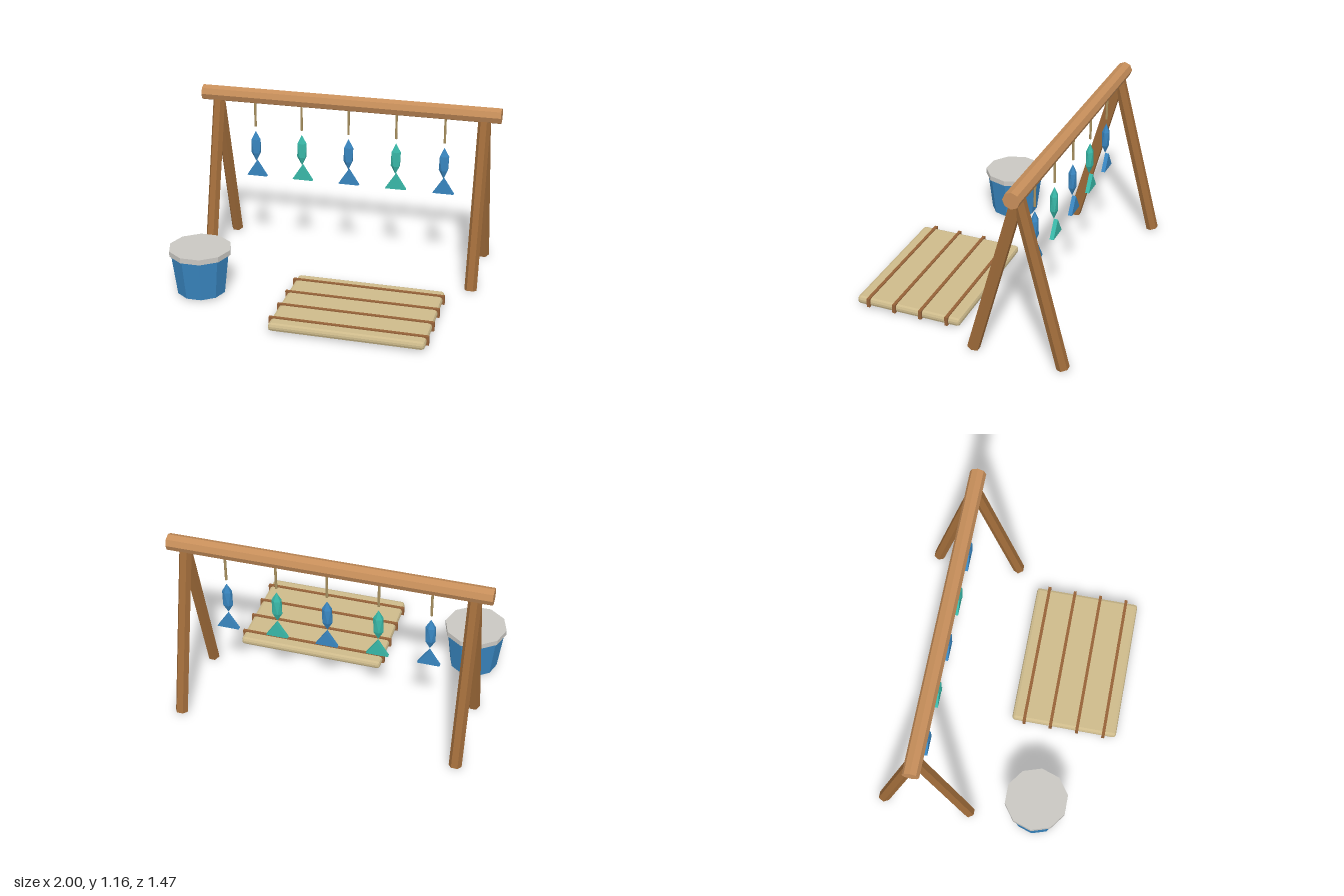
import * as THREE from 'three';
import { RoundedBoxGeometry } from 'three/addons/geometries/RoundedBoxGeometry.js';

const material = (name, color) => {
  const m = new THREE.MeshStandardMaterial({ color });
  m.name = name;
  return m;
};

// Give every face its own normal for a faceted look
function faceted(geometry) {
  const g = geometry.index ? geometry.toNonIndexed() : geometry;
  g.computeVertexNormals();
  return g;
}

export function createModel() {
  const beamWood = material('beamWood', 0xc68e5a);
  const legWood = material('legWood', 0xa06c3a);
  const strapBrown = material('strapBrown', 0x966238);
  const straw = material('straw', 0xcdba8b);
  const cord = material('cord', 0xa8905f);
  const blue = material('blue', 0x3986c0);
  const teal = material('teal', 0x39b8a8);
  const rimGrey = material('rimGrey', 0xc9c7c2);

  const model = new THREE.Group();
  const rackX = 0.002, rackZ = -0.415;

  function add(parent, name, geometry, mat, x = 0, y = 0, z = 0) {
    const mesh = new THREE.Mesh(faceted(geometry), mat);
    mesh.name = name;
    mesh.position.set(x, y, z);
    parent.add(mesh);
    return mesh;
  }

  // Drying rack: octagonal beam on two pairs of splayed hexagonal legs
  const rack = new THREE.Group();
  rack.name = 'dryingRack';
  rack.position.set(rackX, 0, rackZ);
  model.add(rack);
  const beam = new THREE.CylinderGeometry(0.052, 0.052, 1.995, 8).rotateZ(Math.PI / 2);
  add(rack, 'beam', beam, beamWood, 0, 1.115, 0);

  const top = new THREE.Vector2(0, 1.086), foot = new THREE.Vector2(0.285, 0.011);
  const legLength = top.distanceTo(foot);
  const legTilt = Math.atan2(foot.x, top.y - foot.y);
  for (const sx of [-1, 1]) {
    for (const sz of [-1, 1]) {
      const leg = new THREE.CylinderGeometry(0.04, 0.04, legLength, 6)
        .rotateY(Math.PI / 2).rotateX(-sz * legTilt);
      add(rack, 'leg', leg, legWood, sx * 0.89, (top.y + foot.y) / 2, sz * foot.x / 2);
    }
  }

  // Hanging fish: cord, faceted body and wedge tail, in alternating colours
  const tailShape = new THREE.Shape([
    new THREE.Vector2(0, 0.652), new THREE.Vector2(-0.07, 0.545), new THREE.Vector2(0.07, 0.545),
  ]);
  for (let i = 0; i < 5; i++) {
    const fish = new THREE.Group();
    fish.name = 'hangingFish';
    fish.position.x = (i - 2) * 0.32;
    rack.add(fish);
    const skin = i % 2 ? teal : blue;
    add(fish, 'cord', new THREE.CylinderGeometry(0.008, 0.008, 0.19, 6), cord, 0, 0.995, 0);
    // Turn one corner of the icosahedron to the top, then stretch it
    const body = new THREE.IcosahedronGeometry(1, 0)
      .rotateZ(-Math.atan(2 / (1 + Math.sqrt(5)))).scale(0.037, 0.108, 0.027);
    add(fish, 'fishBody', body, skin, 0, 0.761, 0);
    const tail = new THREE.ExtrudeGeometry(tailShape, { depth: 0.026, bevelEnabled: false });
    add(fish, 'fishTail', tail, skin, 0, 0, -0.026);
  }

  // Bucket: tapered ten-sided tub with a pale lid band
  const bucket = new THREE.Group();
  bucket.name = 'bucket';
  bucket.position.set(-0.797, 0, 0.298);
  model.add(bucket);
  add(bucket, 'tub', new THREE.CylinderGeometry(0.192, 0.158, 0.278, 10).rotateY(Math.PI / 2),
    blue, 0, 0.151, 0);
  add(bucket, 'rim', new THREE.CylinderGeometry(0.203, 0.203, 0.035, 10).rotateY(Math.PI / 2),
    rimGrey, 0, 0.298, 0);

  // Mat: chamfered slab bound by four straps
  const mat = new THREE.Group();
  mat.name = 'mat';
  mat.position.set(0.267, 0, 0.382);
  model.add(mat);
  add(mat, 'slab', new RoundedBoxGeometry(0.97, 0.053, 0.705, 1, 0.02), straw, 0, 0.0405, 0);
  for (let i = 0; i < 4; i++) {
    add(mat, 'strap', new THREE.BoxGeometry(0.995, 0.059, 0.02), strapBrown,
      0, 0.0445, (i - 1.5) * 0.179);
  }
  return model;
}
